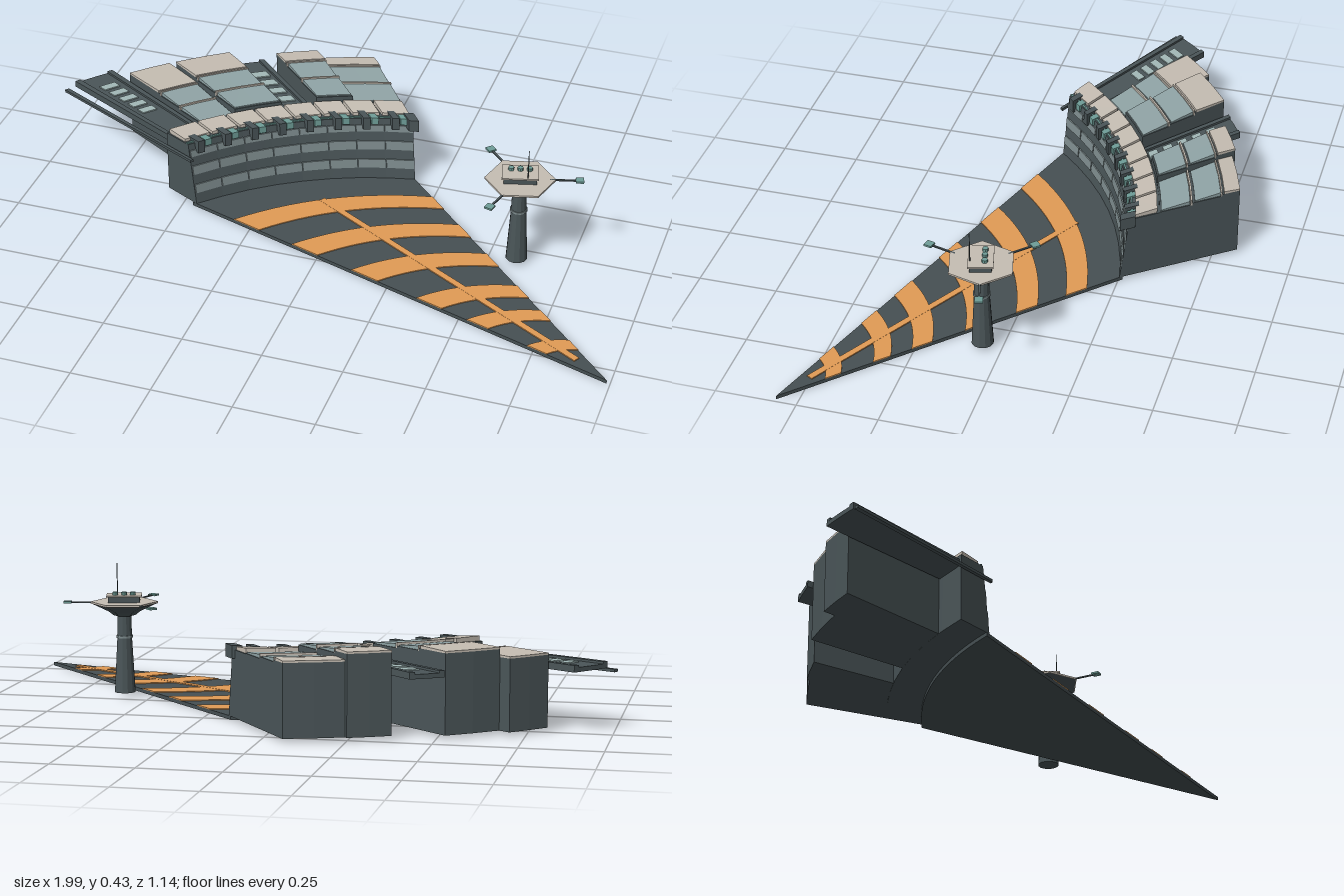
import * as THREE from 'three';

const mat = (color) => new THREE.MeshStandardMaterial({ color, flatShading: true, side: THREE.DoubleSide });
const M = {
  dark: mat(0x4a5558), deck: mat(0x465053), light: mat(0x7d8b8d), glass: mat(0x8fa3a5),
  pale: mat(0xc6beb3), orange: mat(0xe29b55), teal: mat(0x6f9e98), window: mat(0xa3b9b8),
};

const APEX = [0.99, 0.565];           // tip of the deck
const HUB = [0.96, 0.80];             // point the building's side walls aim at
const P0 = [-0.452, 0.094], P1 = [0.168, -0.254], SAG = 0.06;

// front arc of the building, u = 0 (right end) to 1 (left end), as [x, z]
function arc(u) {
  const b = 4 * u * (1 - u) * SAG;
  return [P0[0] + (P1[0] - P0[0]) * u - 0.49 * b, P0[1] + (P1[1] - P0[1]) * u - 0.87 * b];
}
// point at depth d behind the arc
function at(u, d) {
  const [x, z] = arc(u), dx = x - HUB[0], dz = z - HUB[1], l = Math.hypot(dx, dz);
  return [x + dx / l * d, z + dz / l * d];
}

export function createModel() {
  const root = new THREE.Group();
  const add = (parent, name, geo, m, x = 0, y = 0, z = 0) => {
    const mesh = new THREE.Mesh(geo, m);
    mesh.name = name;
    mesh.position.set(x, y, z);
    parent.add(mesh);
    return mesh;
  };
  const group = (name) => {
    const g = new THREE.Group();
    g.name = name;
    root.add(g);
    return g;
  };

  // box bent into the fan: u and d ranges, bottom y0, top yf (front) to yb (back), lean of the top
  function block(parent, name, m, u0, u1, d0, d1, y0, yf, yb = yf, leanA = 0, leanB = leanA, seg = 2) {
    const geo = new THREE.BoxGeometry(1, 1, 1, seg, 1, 1);
    const p = geo.attributes.position;
    for (let i = 0; i < p.count; i++) {
      const u = u0 + (u1 - u0) * (p.getX(i) + 0.5), k = 0.5 - p.getZ(i), top = p.getY(i) > 0;
      const lean = k < 0.5 ? (top ? leanB : leanA) : 0;
      const [x, z] = at(u, d0 + (d1 - d0) * k + lean);
      p.setXYZ(i, x, top ? yf + (yb - yf) * k : y0, z);
    }
    geo.computeVertexNormals();
    return add(parent, name, geo, m);
  }

  // flat piece lying on the ground plane
  function plate(parent, name, m, pts, y, h) {
    const shape = new THREE.Shape(pts.map(([x, z]) => new THREE.Vector2(x, -z)));
    const geo = new THREE.ExtrudeGeometry(shape, { depth: h, bevelEnabled: false });
    geo.rotateX(-Math.PI / 2);
    return add(parent, name, geo, m, 0, y, 0);
  }
  // front arc shrunk toward the tip
  const scaledArc = (t, n = 14) => Array.from({ length: n + 1 }, (_, i) =>
    arc(i / n).map((v, k) => APEX[k] + (v - APEX[k]) * t));

  // deck with curved stripes and a centre line
  const deck = group('deck');
  plate(deck, 'deckPlate', M.deck, [APEX, ...scaledArc(1.01)], 0, 0.012);
  [[0.9, 0.835], [0.75, 0.685], [0.6, 0.535], [0.44, 0.38], [0.32, 0.27], [0.18, 0.135]].forEach(([a, b]) =>
    plate(deck, 'deckStripe', M.orange, [...scaledArc(a), ...scaledArc(b).reverse()], 0.012, 0.003));
  const s = [-0.08, -0.05], e = [0.885, 0.5], w = [0.005, -0.009];
  plate(deck, 'deckCentreLine', M.orange, [[s[0] + w[0], s[1] + w[1]], [e[0] + w[0], e[1] + w[1]],
    [e[0] - w[0], e[1] - w[1]], [s[0] - w[0], s[1] - w[1]]], 0.012, 0.0035);

  // faceted, leaning front wall with light bands, cap tiles and small bays
  const front = group('frontWall');
  const N = 8, LEAN = 0.03, TOP = 0.222;
  const leanAt = (y) => LEAN * (y - 0.012) / (TOP - 0.012);
  for (let i = 0; i < N; i++) {
    const a = i / N, b = (i + 1) / N, g = 0.006;
    block(front, 'wallFacet', M.dark, a, b, 0, 0.13, 0.012, TOP, TOP, 0, LEAN, 1);
    [[0.05, 0.08], [0.115, 0.145], [0.178, 0.2]].forEach(([y0, y1]) =>
      block(front, 'wallBand', M.light, a + g / 2, b - g / 2, -0.004, 0.06, y0, y1, y1, leanAt(y0), leanAt(y1), 1));
    block(front, 'capTile', M.pale, a + g, b - g, 0.05, 0.122, TOP, 0.232, 0.238, 0, 0, 1);
    block(front, 'wallBay', M.dark, a + 0.03, a + 0.06, 0.012, 0.06, 0.19, 0.234, 0.234, 0, 0, 1);
    block(front, 'bayWindow', M.teal, a + 0.07, a + 0.1, 0.02, 0.06, 0.205, 0.228, 0.228, 0, 0, 1);
  }
  block(front, 'wallRail', M.teal, 0, 1, 0.034, 0.04, TOP, 0.226, 0.226, 0, 0, 16);
  block(front, 'endBay', M.dark, 0.97, 1.012, 0.0, 0.05, 0.195, 0.235, 0.235, 0, 0, 1);

  // four rear halls with stepped glazed roofs
  [[0.15, 0.3, 0.5, 0.238], [0.3, 0.5, 0.46, 0.262], [0.65, 0.8, 0.41, 0.266], [0.8, 1, 0.4, 0.242]]
    .forEach(([a, b, back, h]) => {
      const hall = group('rearHall'), g = 0.004;
      block(hall, 'hallBody', M.dark, a, b, 0.13, 0.24, 0.012, h - 0.018);
      block(hall, 'hallBody', M.dark, a, b, 0.24, 0.34, 0.012, h - 0.012);
      block(hall, 'hallRear', M.dark, a, b, 0.34, back, 0.012, h - 0.006);
      block(hall, 'roofGlass', M.glass, a + g, b - g, 0.135, 0.232, h - 0.02, h - 0.014, h - 0.006);
      block(hall, 'roofGlass', M.glass, a + g, b - g, 0.248, 0.335, h - 0.014, h - 0.008, h);
      block(hall, 'roofRidge', M.pale, a, b, 0.234, 0.24, h - 0.02, h - 0.002);
      block(hall, 'roofRidge', M.pale, a, b, 0.336, 0.341, h - 0.014, h + 0.003);
      block(hall, 'roofSlab', M.pale, a, b, 0.347, back, h - 0.006, h + 0.003, h);
    });

  // two overhanging piers with a row of skylights
  [[0.01, 0.145, 0.06, 0.59, 0.3], [0.515, 0.635, 0.1, 0.475, 0.14]].forEach(([a, b, d0, d1, first]) => {
    const pier = group('pier'), mid = (a + b) / 2, step = (d1 - first - 0.05) / 5;
    block(pier, 'pierSlab', M.dark, a, b, d0, d1, 0.188, 0.202);
    [[a, a + 0.018], [b - 0.018, b]].forEach(([u0, u1]) =>
      block(pier, 'pierRim', M.dark, u0, u1, d0, d1, 0.2, 0.209));
    for (let i = 0; i < 5; i++) {
      const d = first + i * step;
      block(pier, 'skylight', M.window, mid - 0.028, mid + 0.028, d, d + step * 0.6, 0.2, 0.206);
    }
  });
  block(root, 'sideBeam', M.dark, -0.022, -0.008, 0, 0.6, 0.174, 0.183);

  // control tower
  const tower = group('controlTower');
  tower.position.set(0.588, 0, 0.06);
  const cyl = (name, m, rt, rb, y0, y1, n = 12, x = 0, z = 0) =>
    add(tower, name, new THREE.CylinderGeometry(rt, rb, y1 - y0, n), m, x, (y0 + y1) / 2, z);
  const TURN = 0.255;                 // direction of the first arm
  cyl('towerShaft', M.dark, 0.024, 0.034, 0.014, 0.19);
  cyl('shaftCollar', M.light, 0.027, 0.027, 0.19, 0.197);
  cyl('shaftNeck', M.dark, 0.022, 0.024, 0.197, 0.27);
  const hex = (...a) => { cyl(...a, 6).rotation.y = TURN + Math.PI / 6; };
  hex('dishBase', M.dark, 0.05, 0.035, 0.262, 0.274);
  hex('dish', M.dark, 0.105, 0.05, 0.274, 0.3);
  hex('dishTop', M.pale, 0.108, 0.108, 0.3, 0.306);
  const cabin = new THREE.Group();
  cabin.name = 'cabin';
  cabin.rotation.y = TURN;
  tower.add(cabin);
  add(cabin, 'cabinWalls', new THREE.BoxGeometry(0.1, 0.018, 0.065), M.dark, 0, 0.315, 0);
  add(cabin, 'cabinRoof', new THREE.BoxGeometry(0.112, 0.005, 0.076), M.pale, 0, 0.326, 0);
  [-0.028, 0, 0.028].forEach((x) =>
    add(cabin, 'roofVent', new THREE.CylinderGeometry(0.009, 0.009, 0.01, 8), M.teal, x, 0.333, -0.012));
  cyl('mast', M.dark, 0.0012, 0.002, 0.32, 0.425, 6, 0.03, 0.025);
  for (let i = 0; i < 3; i++) {       // sensor arms
    const arm = new THREE.Group();
    arm.name = 'sensorArm';
    arm.rotation.y = TURN + i * Math.PI * 2 / 3;
    tower.add(arm);
    add(arm, 'armRod', new THREE.BoxGeometry(0.09, 0.004, 0.006), M.dark, 0.135, 0.304, 0);
    add(arm, 'armPad', new THREE.BoxGeometry(0.025, 0.006, 0.025), M.teal, 0.18, 0.305, 0);
  }
  return root;
}
